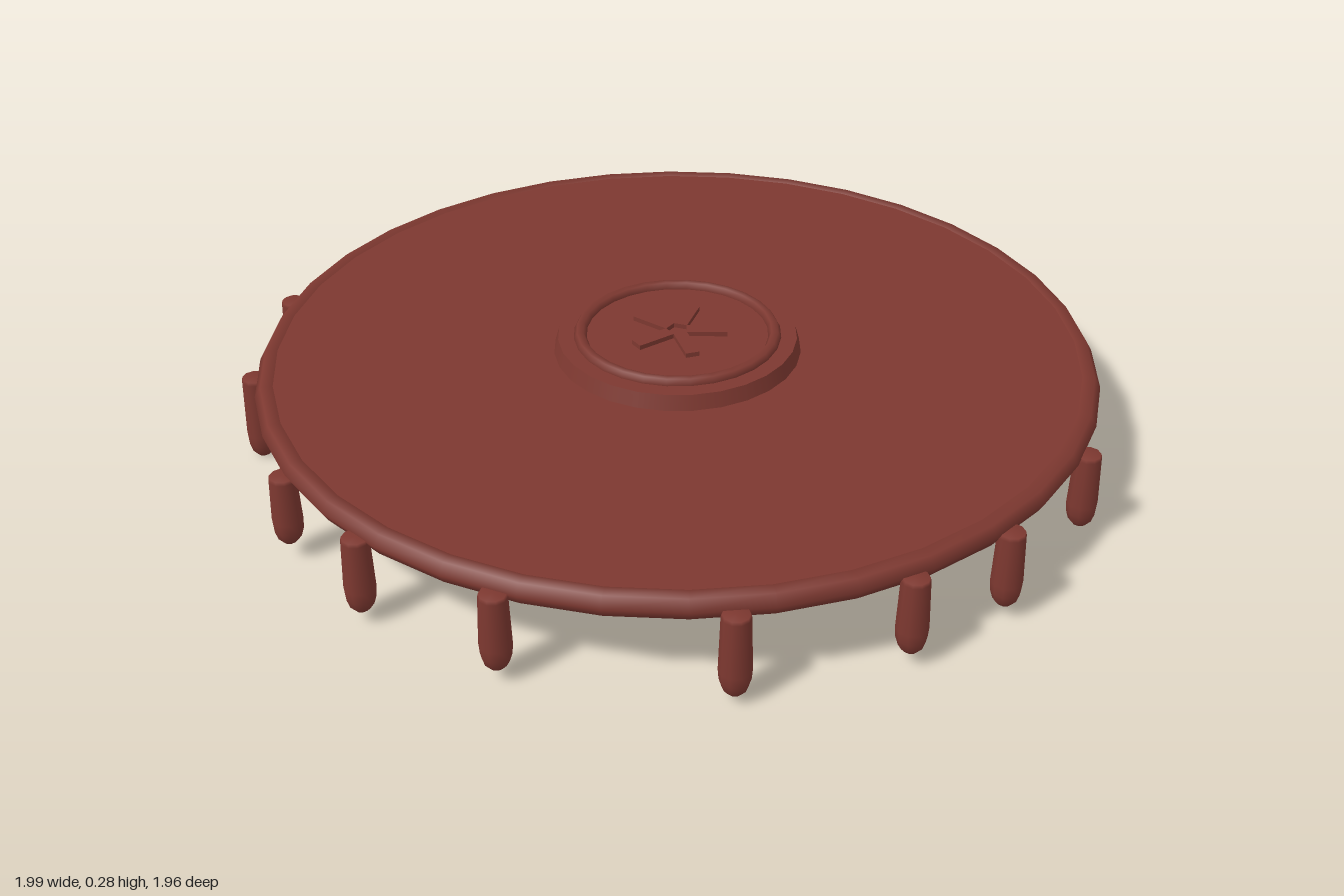
import * as THREE from 'three';

export function createModel() {
  const group = new THREE.Group();
  const wax = new THREE.MeshStandardMaterial({ color: 0x7d3830 });
  wax.name = 'dark red wax';
  const centreZ = -0.02;

  function add(name, geometry, x, y, z) {
    const mesh = new THREE.Mesh(geometry, wax);
    mesh.name = name;
    mesh.position.set(x, y, z);
    group.add(mesh);
    return mesh;
  }
  function ring(name, radius, tube, sides, y) {
    const geometry = new THREE.TorusGeometry(radius, tube, 6, sides).rotateX(Math.PI / 2);
    add(name, geometry, 0, y, centreZ);
  }

  // Thin round plate with a rolled rim
  add('plate', new THREE.CylinderGeometry(0.935, 0.935, 0.043, 36), 0, 0.2135, centreZ);
  ring('plateRim', 0.935, 0.028, 36, 0.211);

  // Raised central button with its own rim
  add('button', new THREE.CylinderGeometry(0.275, 0.285, 0.036, 28), 0, 0.252, centreZ);
  ring('buttonRim', 0.224, 0.015, 28, 0.271);

  // Five-armed star on the button
  for (let i = 0; i < 5; i++) {
    const a = (i * Math.PI * 2) / 5;
    const r = 0.068;
    const arm = add('starArm', new THREE.BoxGeometry(0.032, 0.016, 0.094),
      r * Math.sin(a), 0.273, centreZ - r * Math.cos(a));
    arm.rotation.y = -a;
  }

  // Rounded drips hanging around the front half: x, z, height of the tip
  const drips = [
    [-0.967, 0.035, 0.03], [-0.877, 0.385, 0.005], [-0.623, 0.72, 0.043],
    [-0.38, 0.867, 0.03], [-0.047, 0.947, 0.03], [0.413, 0.857, 0.018],
    [0.709, 0.637, 0.03], [0.858, 0.427, 0.03], [0.962, 0.095, 0.03],
  ];
  const top = 0.212;
  for (const [x, z, tip] of drips) {
    const profile = [
      [0, tip], [0.016, tip + 0.004], [0.026, tip + 0.016], [0.032, tip + 0.036],
      [0.034, tip + 0.06], [0.03, top - 0.008], [0.028, top], [0, top],
    ].map(([r, y]) => new THREE.Vector2(r, y));
    add('drip', new THREE.LatheGeometry(profile, 10), x, 0, z);
  }

  return group;
}
